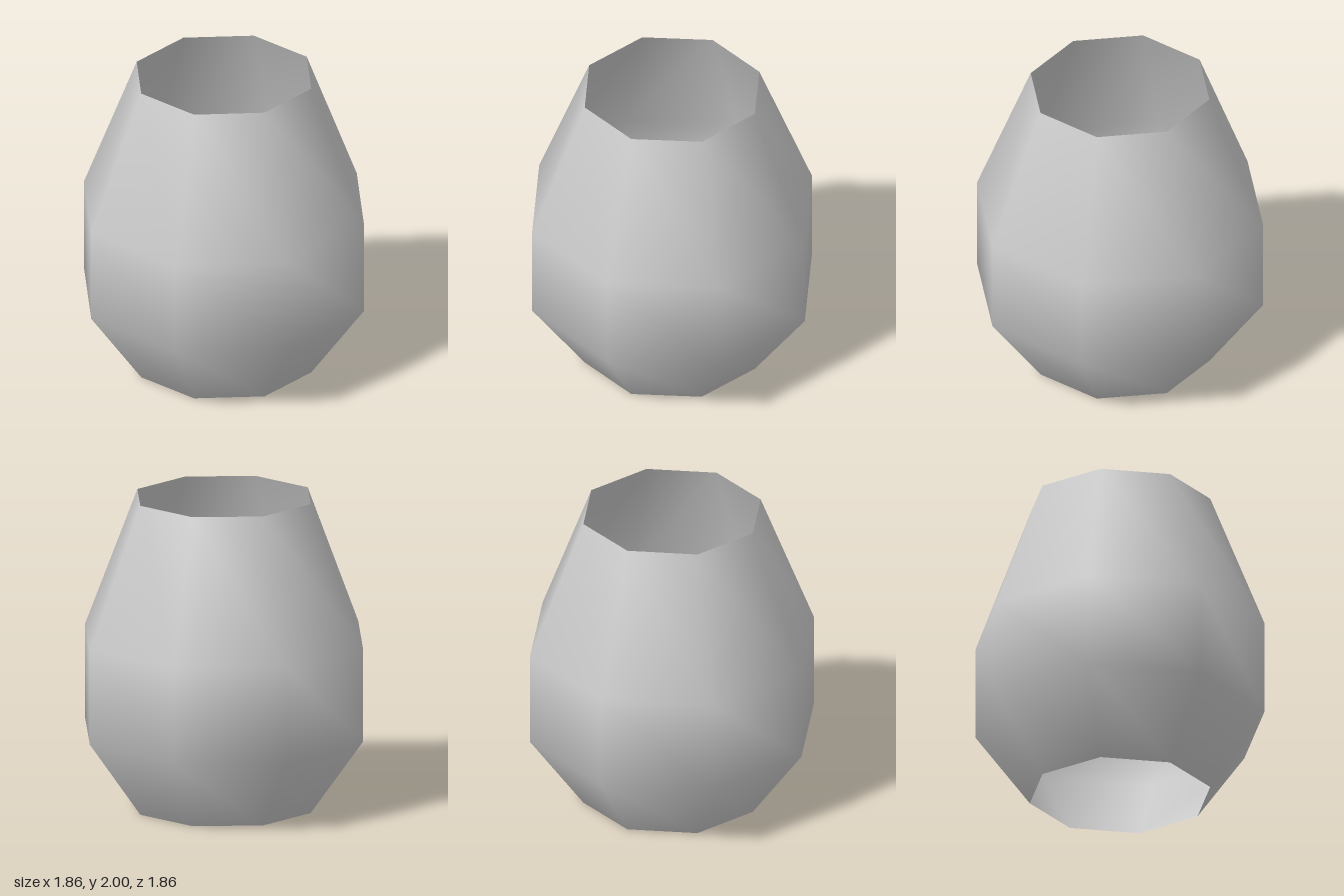
import * as THREE from 'three';

export function createModel() {
  const model = new THREE.Group();
  model.name = 'vase';

  const clay = new THREE.MeshStandardMaterial({ color: 0xcccccc, side: THREE.DoubleSide });
  clay.name = 'light grey';

  // Eight-sided smooth shell, open at both ends: [radius, height] from foot to rim
  const profile = [[0.58, 0], [0.93, 0.49], [0.93, 1.1], [0.58, 2]]
    .map(([r, y]) => new THREE.Vector2(r, y));
  const shell = new THREE.Mesh(new THREE.LatheGeometry(profile, 8), clay);
  shell.name = 'vaseShell';
  model.add(shell);

  return model;
}
